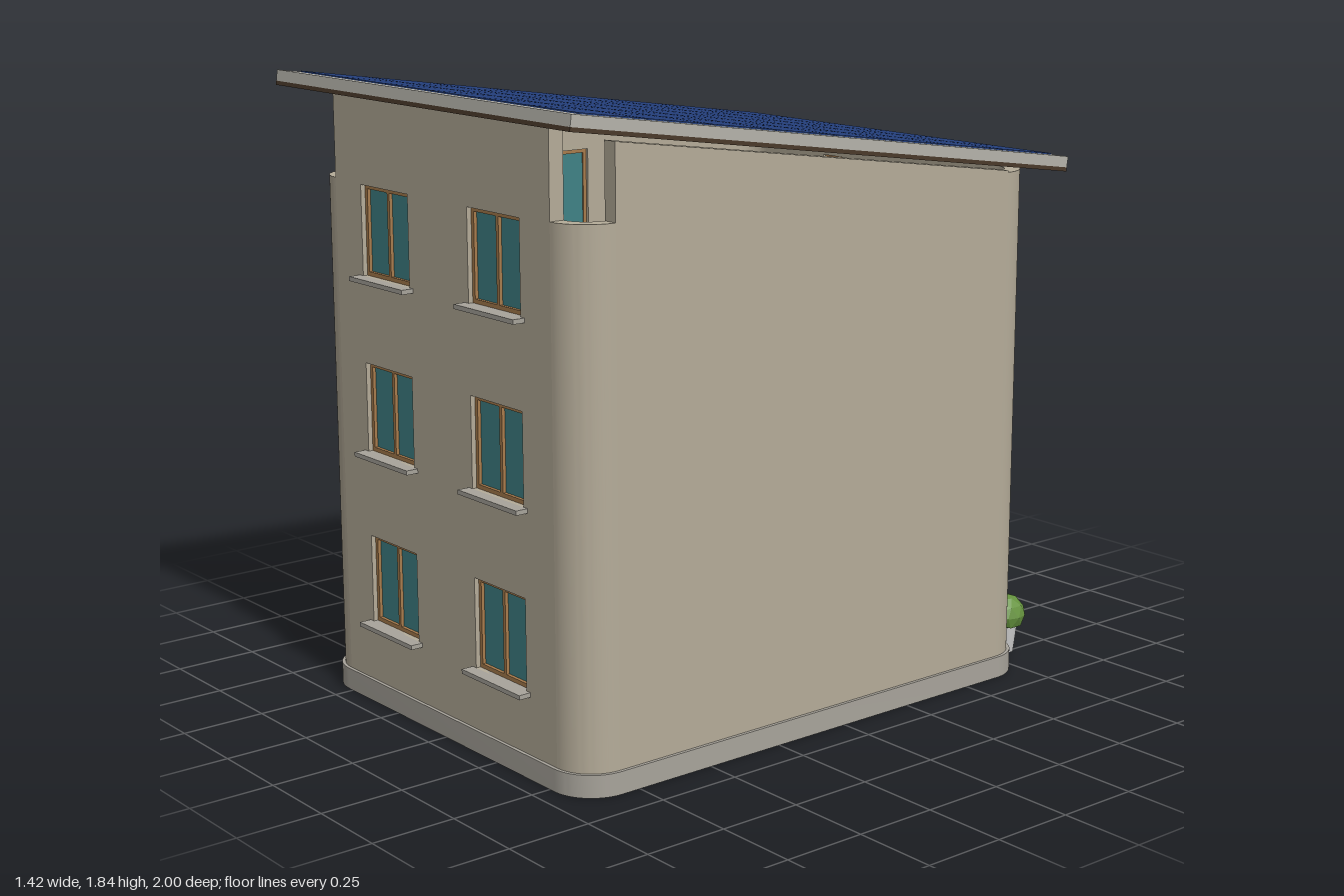
import * as THREE from 'three';
import { toCreasedNormals } from 'three/addons/utils/BufferGeometryUtils.js';

const mat = (color, flat = false) => new THREE.MeshStandardMaterial({ color, flatShading: flat });
const M = {
  wall: mat(0xb5ac99), stone: mat(0xa8a49b), roof: mat(0xb5b3aa), soffit: mat(0x4a3a2a),
  cell: mat(0x243f7c), wood: mat(0xa87c4d), glass: mat(0x3f8286), rail: mat(0x9cccca),
  green: mat(0x2a6b52), door: mat(0x80502a), pot: mat(0xc4c4c0),
  leaf: mat(0x65923e, true), darkLeaf: mat(0x47702f, true), flower: mat(0xcc6650, true),
};
const WALL = 0.045, RADIUS = 0.12, HALF_X = 0.64, FRONT = 0.93, BACK = -0.75, EAVE = 1.545;

function add(parent, name, geo, material, x = 0, y = 0, z = 0) {
  const m = new THREE.Mesh(geo, material);
  m.name = name;
  m.position.set(x, y, z);
  parent.add(m);
  return m;
}
const box = (parent, name, material, w, h, d, x, y, z) =>
  add(parent, name, new THREE.BoxGeometry(w, h, d), material, x, y, z);
const group = (parent, name, x = 0, y = 0, z = 0, ry = 0) => {
  const g = new THREE.Group();
  g.name = name;
  g.position.set(x, y, z);
  g.rotation.y = ry;
  parent.add(g);
  return g;
};
const poly = (pts) => new THREE.Shape(pts.map(([x, y]) => new THREE.Vector2(x, y)));
const rect = (x, y, w, h) => poly([[x - w / 2, y], [x + w / 2, y], [x + w / 2, y + h], [x - w / 2, y + h]]);
const extrude = (shape, depth) =>
  new THREE.ExtrudeGeometry(shape, { depth, bevelEnabled: false, curveSegments: 10 });

// A plan outline (x, z) raised from y0 to y1
const raise = (shape, y0, y1) =>
  toCreasedNormals(extrude(shape, y1 - y0).rotateX(Math.PI / 2).translate(0, y1, 0), 0.6);

// Flat wall, outer face on local z = 0, with openings [x, y, w, h]
function wall(parent, half, topL, topR, openings) {
  const s = poly([[-half, 0], [half, 0], [half, topR], [-half, topL]]);
  for (const o of openings) s.holes.push(rect(...o));
  add(parent, 'wallPanel', extrude(s, WALL), M.wall, 0, 0, -WALL);
}

// Recessed window with framed panes and an optional sill
function windowUnit(parent, [x, y, w, h], panes = 2, sill = 0.037) {
  const g = group(parent, 'window', x, y, 0);
  const b = 0.012, pw = (w - b * (panes + 1)) / panes;
  const frame = rect(0, 0, w, h);
  for (let i = 0; i < panes; i++)
    frame.holes.push(rect(-w / 2 + b + pw / 2 + i * (pw + b), b, pw, h - 2 * b));
  add(g, 'windowFrame', extrude(frame, 0.022), M.wood, 0, 0, -0.036);
  box(g, 'windowGlass', M.glass, w - b, h - b, 0.008, 0, h / 2, -0.028);
  if (sill) box(g, 'windowSill', M.stone, w + 0.035, 0.013, sill + 0.03, 0, -0.0065, sill / 2 - 0.015);
}

// Low-poly clump of leaves with a flattened underside
function foliage(parent, name, material, x, y, z, rx, ry, rz, floor = -0.5, turn = 0) {
  const geo = new THREE.IcosahedronGeometry(1, 1).rotateY(turn);
  const p = geo.attributes.position;
  for (let i = 0; i < p.count; i++) p.setY(i, Math.max(p.getY(i), floor));
  geo.scale(rx, ry, rz);
  add(parent, name, geo, material, x, y, z);
}

// Balcony plan: straight sides, rounded outer corners
function balconyOutline(w, d, r) {
  const s = new THREE.Shape();
  s.moveTo(-w, 0);
  s.lineTo(-w, d - r);
  s.quadraticCurveTo(-w, d, -w + r, d);
  s.lineTo(w - r, d);
  s.quadraticCurveTo(w, d, w, d - r);
  s.lineTo(w, 0);
  return s;
}
function balconyBand(w, d, r, t) {
  const outer = balconyOutline(w, d, r).getPoints(10);
  const inner = balconyOutline(w - t, d - t, r - t / 2).getPoints(10).reverse();
  return new THREE.Shape([...outer, ...inner]);
}

function buildShell(root) {
  // Rounded plinth
  const w = 0.65, z0 = -0.76, z1 = 0.94, r = 0.13, s = new THREE.Shape();
  s.absarc(w - r, z1 - r, r, 0, Math.PI / 2);
  s.absarc(-w + r, z1 - r, r, Math.PI / 2, Math.PI);
  s.absarc(-w + r, z0 + r, r, Math.PI, Math.PI * 1.5);
  s.absarc(w - r, z0 + r, r, Math.PI * 1.5, Math.PI * 2);
  add(root, 'plinth', raise(s, 0, 0.065), M.stone);

  // Quarter-round wall corners, open above the eaves line
  const corners = [[1, FRONT - RADIUS, 0], [-1, FRONT - RADIUS, 1], [-1, BACK + RADIUS, 2], [1, BACK + RADIUS, 3]];
  for (const [sx, z, q] of corners) {
    const a = q * Math.PI / 2, c = new THREE.Shape();
    c.absarc(0, 0, RADIUS, a, a + Math.PI / 2, false);
    c.absarc(0, 0, RADIUS - WALL, a + Math.PI / 2, a, true);
    add(root, 'roundedCorner', raise(c, 0, EAVE), M.wall, sx * (HALF_X - RADIUS), 0, z);
  }

  // Front and side walls with their windows
  const rows = [0, 1, 2].map((i) => 0.245 + i * 0.516);
  const front = group(root, 'frontWall', 0, 0, FRONT);
  const frontWins = rows.flatMap((y) => [-1, 1].map((k) => [k * 0.265, y, 0.24, 0.262]));
  wall(front, HALF_X - RADIUS, 1.785, 1.785, frontWins);
  frontWins.forEach((o) => windowUnit(front, o));

  const midZ = (FRONT + BACK) / 2, halfZ = (FRONT - BACK) / 2 - RADIUS;
  wall(group(root, 'leftWall', HALF_X, 0, midZ, Math.PI / 2), halfZ, 1.753, 1.55, []);
  const right = group(root, 'rightWall', -HALF_X, 0, midZ, -Math.PI / 2);
  const sideWins = rows.map((y) => [0, y, 0.24, 0.262]);
  wall(right, halfZ, 1.55, 1.753, sideWins);
  sideWins.forEach((o) => windowUnit(right, o, 2, 0.03));
}

function buildRoof(root) {
  const roof = group(root, 'roof', 0, 1.713, 0.096);
  roof.rotation.x = -Math.atan(0.26 / 1.81);
  const L = 1.822;
  box(roof, 'roofSlab', M.roof, 1.42, 0.032, L, 0, -0.016, 0);
  box(roof, 'roofSoffit', M.soffit, 1.42, 0.012, L, 0, -0.038, 0);
  // Solar cells, six by eight
  const cw = 0.225, cd = 0.2185;
  for (let i = 0; i < 6; i++)
    for (let j = 0; j < 8; j++)
      box(roof, 'solarCell', M.cell, cw - 0.011, 0.006, cd - 0.011, (i - 2.5) * cw, 0.001, (j - 3.5) * cd - 0.012);
}

function buildBack(root) {
  // Local z points out of the back wall
  const back = group(root, 'backWall', 0, 0, BACK, Math.PI);
  const mids = [-0.32, 0, 0.32].map((x) => [x, 0.761, 0.205, 0.262]);
  const lows = [-0.35, 0.35].map((x) => [x, 0.235, 0.215, 0.27]);
  const terrace = [0, 1.1, 0.48, 0.4], entry = [0, 0.05, 0.22, 0.47];
  wall(back, HALF_X - RADIUS, EAVE, EAVE, [...mids, ...lows, terrace, entry]);
  mids.forEach((o) => windowUnit(back, o, 2, 0.02));
  lows.forEach((o) => windowUnit(back, o, 2, 0.02));
  windowUnit(back, terrace, 3, 0);

  // Shutters
  for (const x of [-0.475, -0.16, 0.16, 0.475]) {
    box(back, 'shutter', M.green, 0.098, 0.285, 0.012, x, 0.893, 0.006);
    box(back, 'shutterRail', M.green, 0.08, 0.01, 0.006, x, 0.893, 0.014);
  }

  // Entrance door with transom, glazing and step
  const door = group(back, 'entrance');
  const df = rect(0, 0.05, 0.22, 0.47);
  df.holes.push(rect(0, 0.05, 0.19, 0.455));
  add(door, 'doorFrame', extrude(df, 0.035), M.wood, 0, 0, -0.035);
  box(door, 'doorLeaf', M.door, 0.19, 0.4, 0.016, 0, 0.25, -0.024);
  box(door, 'transom', M.wood, 0.19, 0.055, 0.02, 0, 0.477, -0.024);
  box(door, 'doorGlass', M.glass, 0.075, 0.22, 0.006, -0.035, 0.325, -0.015);
  box(door, 'doorHandle', M.stone, 0.012, 0.04, 0.012, 0.065, 0.25, -0.012);
  box(door, 'doorStep', M.stone, 0.34, 0.035, 0.1, 0, 0.0175, 0.05);

  // Balcony with curved glass railing
  const bal = group(back, 'balcony');
  add(bal, 'balconySlab', raise(balconyOutline(0.375, 0.168, 0.1), 1.07, 1.105), M.stone);
  add(bal, 'balconyGlass', raise(balconyBand(0.365, 0.158, 0.095, 0.007), 1.105, 1.316), M.rail);
  add(bal, 'balconyHandrail', raise(balconyBand(0.368, 0.161, 0.097, 0.013), 1.316, 1.326), M.wood);
  for (const k of [-1, 1]) box(bal, 'balconyPlanter', M.wood, 0.11, 0.068, 0.06, k * 0.3, 1.139, 0.118);

  // Pergola over the entrance
  const per = group(back, 'pergola');
  for (const x of [-0.2, 0.2]) {
    for (const z of [0.012, 0.172]) box(per, 'pergolaPost', M.wood, 0.027, 0.595, 0.027, x, 0.367, z);
    box(per, 'pergolaSideBeam', M.wood, 0.025, 0.028, 0.19, x, 0.664, 0.095);
  }
  for (const z of [0.03, 0.075, 0.12, 0.172])
    box(per, 'pergolaSlat', M.wood, 0.52, 0.022, 0.02, 0, 0.682, z);

  // Climbing plants: clumps on top and up one post
  foliage(per, 'vineClump', M.leaf, -0.15, 0.7, 0.155, 0.105, 0.055, 0.09);
  foliage(per, 'flowerClump', M.flower, 0.02, 0.705, 0.15, 0.1, 0.05, 0.105, -0.5, 0.5);
  foliage(per, 'vineClump', M.leaf, 0.185, 0.7, 0.135, 0.085, 0.05, 0.09, -0.5, 1);
  foliage(per, 'vineClump', M.darkLeaf, 0.08, 0.695, 0.08, 0.12, 0.04, 0.06, -0.5, 2);
  for (const [i, y] of [0.535, 0.36, 0.19].entries())
    foliage(per, 'postBush', M.darkLeaf, 0.2, y, 0.17, 0.052, 0.058, 0.052, -0.85, i);

  // Potted plants on either side
  const potProfile = [[0, 0], [0.036, 0], [0.046, 0.085], [0.05, 0.085], [0.05, 0.1], [0, 0.1]];
  const potGeo = toCreasedNormals(new THREE.LatheGeometry(potProfile.map(([x, y]) => new THREE.Vector2(x, y)), 14), 0.6);
  [-0.48, -0.365, 0.365, 0.48].forEach((x, i) => {
    const p = group(back, 'pottedPlant', x, 0, 0.077);
    add(p, 'pot', potGeo, M.pot);
    foliage(p, 'potLeaves', i === 3 ? M.darkLeaf : M.leaf, 0, 0.122, 0, 0.072, 0.065, 0.07, -0.5, i);
    if (i === 3) foliage(p, 'potFlowers', M.flower, 0, 0.145, 0, 0.066, 0.045, 0.064, -0.2, 2);
  });
}

export function createModel() {
  const root = new THREE.Group();
  root.name = 'house';
  buildShell(root);
  buildRoof(root);
  buildBack(root);
  return root;
}
